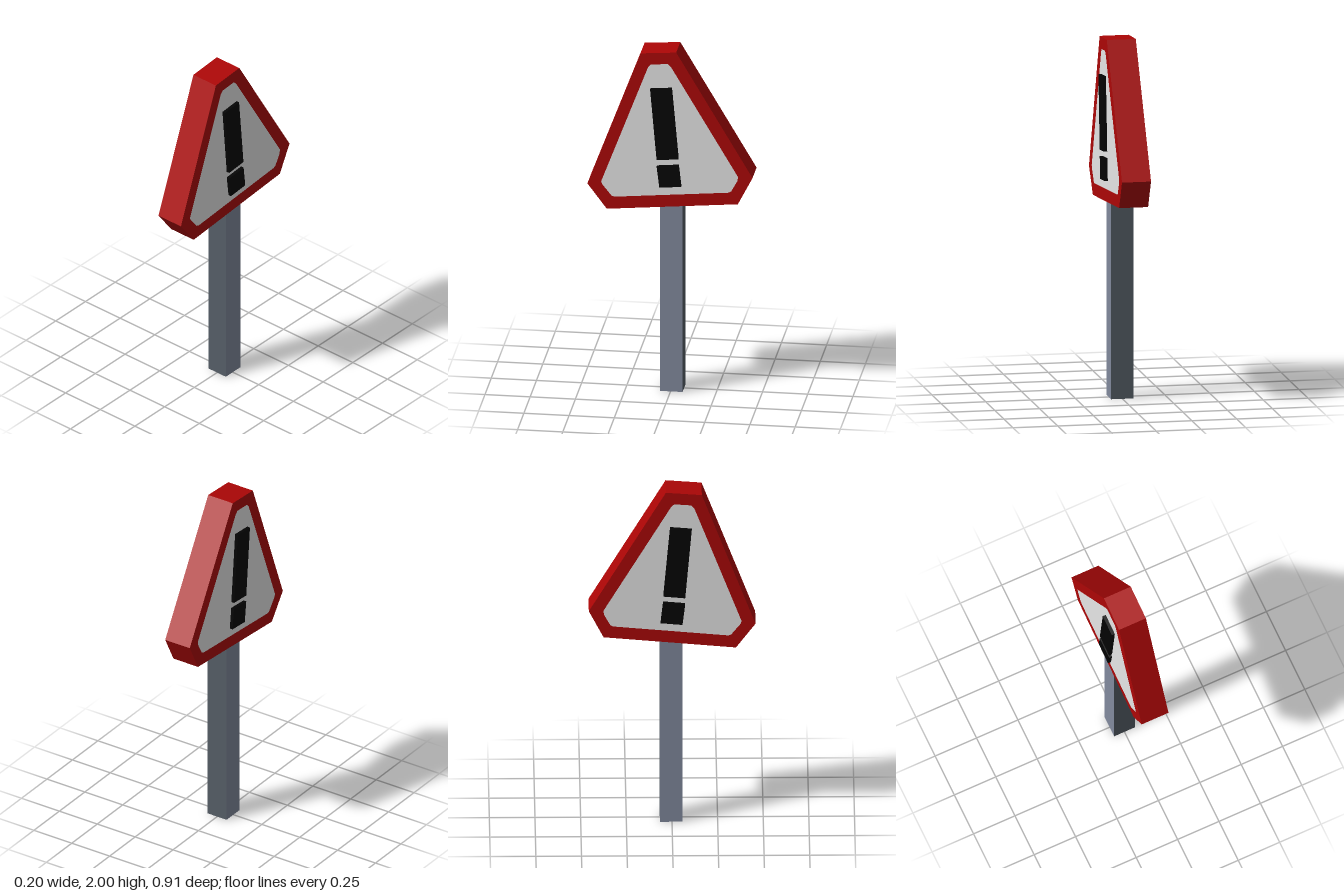
import * as THREE from 'three';

const material = (name, color, side = THREE.FrontSide) => {
  const m = new THREE.MeshStandardMaterial({ color, side });
  m.name = name;
  return m;
};

// Outlines are [z, y] pairs, extruded symmetrically across x
const flip = (pts) => pts.map(([z, y]) => new THREE.Vector2(-z, y));

function slab(name, outline, halfWidth, mat, hole) {
  const shape = new THREE.Shape(flip(outline));
  if (hole) shape.holes.push(new THREE.Path(flip(hole)));
  const geo = new THREE.ExtrudeGeometry(shape, { depth: halfWidth * 2, bevelEnabled: false });
  geo.translate(0, 0, -halfWidth);
  geo.rotateY(Math.PI / 2);
  const mesh = new THREE.Mesh(geo, mat);
  mesh.name = name;
  return mesh;
}

export function createModel() {
  const red = material('red', 0xad0606);
  const white = material('white', 0xe8e8e8);
  const black = material('black', 0x040404);
  const lightSteel = material('light steel', 0x828a9e, THREE.DoubleSide);
  const darkSteel = material('dark steel', 0x565f68, THREE.DoubleSide);

  const group = new THREE.Group();
  group.name = 'warningSign';

  // Square hollow post, open at the ends: dark front and back, light sides
  const post = new THREE.Group();
  post.name = 'post';
  post.position.set(0, 0.56, -0.004);
  ['postFront', 'postLeft', 'postBack', 'postRight'].forEach((name, i) => {
    const geo = new THREE.PlaneGeometry(0.125, 1.12).translate(0, 0, 0.0625).rotateY(i * Math.PI / 2);
    const wall = new THREE.Mesh(geo, i % 2 ? lightSteel : darkSteel);
    wall.name = name;
    post.add(wall);
  });
  group.add(post);

  // Tilted triangular board with cut corners
  const outer = [[0.163, 1.985], [-0.034, 2.0], [-0.456, 1.285], [-0.375, 1.127], [0.35, 1.062], [0.457, 1.205]];
  const inner = [
    [0.122, 1.905], [0.106, 1.923], [0.012, 1.93], [-0.006, 1.912],
    [-0.376, 1.287], [-0.372, 1.262], [-0.338, 1.2], [-0.322, 1.192],
    [0.308, 1.135], [0.324, 1.141], [0.376, 1.206], [0.381, 1.222],
  ];
  group.add(slab('redBorder', outer, 0.081, red, inner));
  group.add(slab('whitePanel', inner, 0.081, white));

  // Raised exclamation mark, showing on both faces
  const bar = [[0.108, 1.783], [-0.011, 1.793], [-0.048, 1.38], [0.072, 1.369]];
  const dot = [[0.072, 1.332], [-0.049, 1.343], [-0.063, 1.219], [0.057, 1.208]];
  group.add(slab('exclamationBar', bar, 0.099, black));
  group.add(slab('exclamationDot', dot, 0.099, black));

  return group;
}
